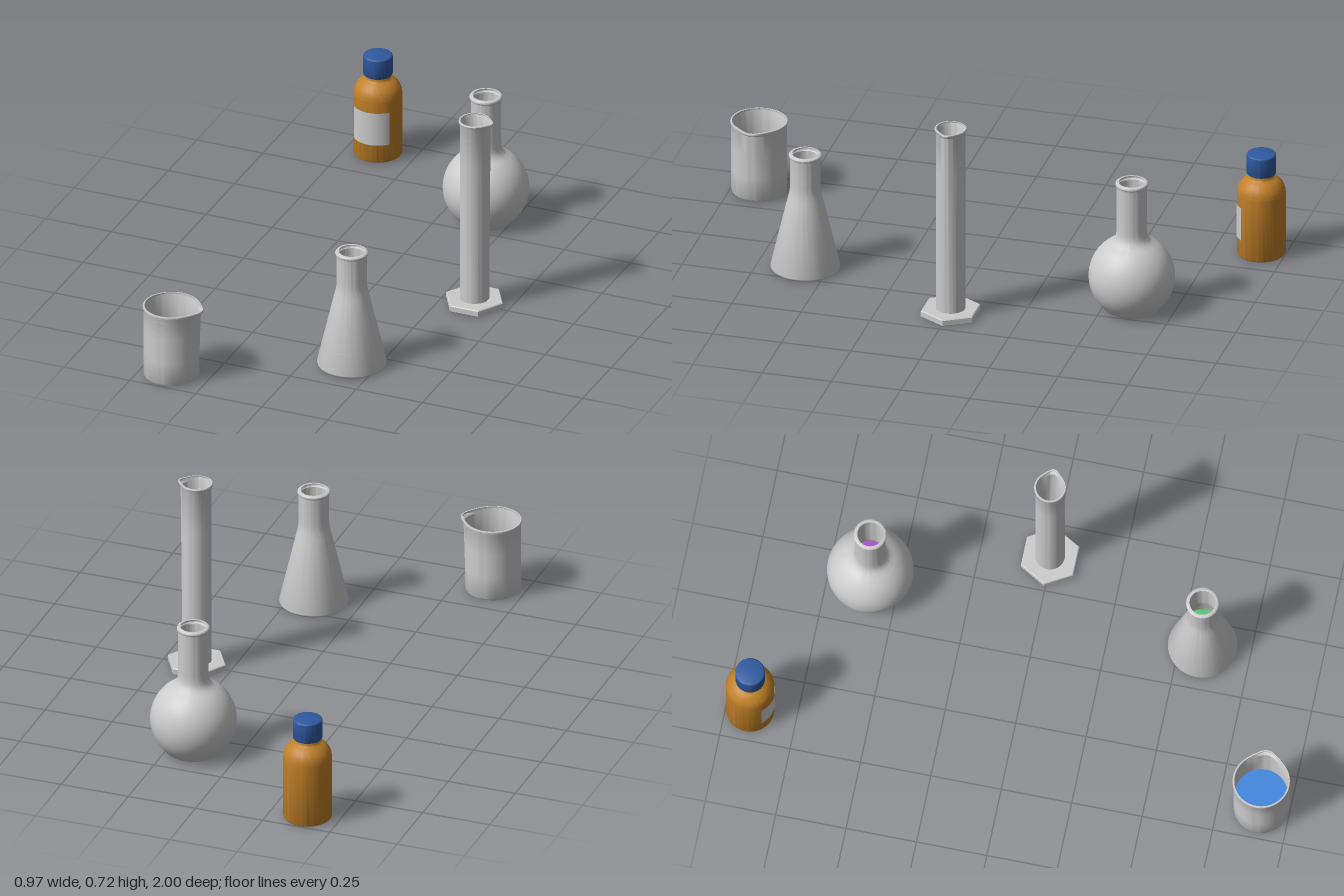
import * as THREE from 'three';
import { toCreasedNormals } from 'three/addons/utils/BufferGeometryUtils.js';

const material = (color, side = THREE.FrontSide) => new THREE.MeshStandardMaterial({ color, side });
const glass = material(0xcccccc);
const print = material(0xcccccc, THREE.DoubleSide);

function add(parent, name, geometry, mat) {
  const mesh = new THREE.Mesh(geometry, mat);
  mesh.name = name;
  parent.add(mesh);
  return mesh;
}

const lathe = (profile) => new THREE.LatheGeometry(profile.map(([r, y]) => new THREE.Vector2(Math.max(r, 0), y)), 64);

// Radius of a rising profile at height y
function radiusAt(profile, y) {
  for (let i = 1; i < profile.length; i++) {
    const [r0, y0] = profile[i - 1], [r1, y1] = profile[i];
    if (y1 > y0 && y >= y0 && y <= y1) return r0 + (r1 - r0) * (y - y0) / (y1 - y0);
  }
  return profile[profile.length - 1][0];
}

// Points along an arc, from angle a0 to a1 measured from the horizontal
function arc(cx, cy, r, a0, a1, n) {
  return Array.from({ length: n + 1 }, (_, i) => {
    const a = a0 + (a1 - a0) * i / n;
    return [cx + r * Math.cos(a), cy + r * Math.sin(a)];
  });
}

// Pull the +x side outwards into a pouring spout, most strongly at the lip
function pullSpout(geometry, { start, lip, body, extra }) {
  const p = geometry.attributes.position;
  for (let i = 0; i < p.count; i++) {
    const x = p.getX(i), y = p.getY(i), z = p.getZ(i);
    if (y <= start || Math.hypot(x, z) < 0.01) continue;
    const a = Math.atan2(z, x);
    const amount = body * Math.min(1, (y - start) / (lip - start)) + (y > lip + 0.001 ? extra : 0);
    p.setX(i, x + amount * Math.exp(-((a / 0.42) ** 2)));
  }
}

// Hollow vessel from its outer profile, partly filled with a coloured liquid
function vessel(name, x, z, outer, { wall, floor, level, color, spout }) {
  const group = new THREE.Group();
  group.name = name;
  group.position.set(x, 0, z);
  const bottom = outer[0][1] + floor;
  const upper = outer.filter(([, y]) => y > bottom + 0.002);
  const inner = [[radiusAt(outer, bottom) - wall, bottom], ...upper.map(([r, y]) => [r - wall, y])];
  const shell = lathe([[0, outer[0][1]], ...outer, ...[...inner].reverse(), [0, bottom]]);
  if (spout) pullSpout(shell, spout);
  add(group, name + 'Glass', toCreasedNormals(shell, 0.6), glass);

  const gap = 0.0005;
  const fill = inner.filter(([, y]) => y < level).map(([r, y]) => [r - gap, y + gap]);
  fill.push([radiusAt(inner, level) - gap, level], [0, level]);
  add(group, name + 'Liquid', toCreasedNormals(lathe([[0, bottom + gap], ...fill]), 0.6), material(color));
  return group;
}

// Row of thin curved graduation marks on the front of a vessel
function graduations(group, outer, { from, to, count, width }) {
  const marks = new THREE.Group();
  marks.name = 'graduations';
  const h = 0.0016;
  for (let i = 0; i < count; i++) {
    const y = from + (to - from) * i / (count - 1);
    const r0 = radiusAt(outer, y - h / 2) + 0.0008, r1 = radiusAt(outer, y + h / 2) + 0.0008;
    const angle = width(i) / r0;
    add(marks, 'mark', new THREE.CylinderGeometry(r1, r0, h, 8, 1, true, -angle / 2, angle), print).position.y = y;
  }
  group.add(marks);
}

function beaker() {
  const outer = [...arc(0.087, 0.01, 0.01, -Math.PI / 2, 0, 4), [0.097, 0.09], [0.097, 0.18],
    [0.097, 0.258], [0.1, 0.265], [0.1005, 0.269], [0.099, 0.272]];
  const group = vessel('beaker', -0.385, 0.9, outer, { wall: 0.005, floor: 0.006, level: 0.14, color: 0x3f87dd,
    spout: { start: 0.05, lip: 0.258, body: 0.01, extra: 0.007 } });
  graduations(group, outer, { from: 0.075, to: 0.247, count: 9, width: (i) => (i % 2 ? 0.032 : 0.066) });
  return group;
}

function conicalFlask() {
  const outer = [...arc(0.108, 0.013, 0.013, -Math.PI / 2, 0.25, 5), [0.0605, 0.275], [0.056, 0.293],
    [0.0535, 0.312], [0.053, 0.33], [0.053, 0.425], ...arc(0.0505, 0.436, 0.0075, -1.2, 1.6, 6)];
  const group = vessel('conicalFlask', 0.16, 0.58, outer, { wall: 0.005, floor: 0.006, level: 0.13, color: 0x55c474 });
  graduations(group, outer, { from: 0.087, to: 0.225, count: 5, width: (i) => (i % 2 ? 0.035 : 0.072 - i * 0.006) });
  return group;
}

function roundFlask() {
  const outer = [[0.085, 0], [0.098, 0.008], ...arc(0, 0.128, 0.151, -0.79, 1.08, 18),
    [0.0605, 0.272], [0.0555, 0.285], [0.0535, 0.3], [0.053, 0.32], [0.053, 0.47],
    ...arc(0.0505, 0.482, 0.0075, -1.2, 1.6, 6)];
  return vessel('roundFlask', 0.16, -0.6, outer, { wall: 0.005, floor: 0.006, level: 0.13, color: 0xa552c8 });
}

function measuringCylinder() {
  const outer = [[0.0515, 0.022], [0.0515, 0.3], [0.0515, 0.55], [0.0515, 0.705],
    [0.055, 0.712], [0.056, 0.717], [0.0545, 0.72]];
  const group = vessel('measuringCylinder', 0.373, -0.005, outer, { wall: 0.005, floor: 0.008, level: 0.42, color: 0xdd9a33,
    spout: { start: 0.1, lip: 0.705, body: 0.008, extra: 0.006 } });
  graduations(group, outer, { from: 0.09, to: 0.662, count: 21, width: (i) => (i % 5 ? 0.022 : 0.036) });

  // Hexagonal foot with corners along x and a slight bevel
  const hexagon = new THREE.Shape(Array.from({ length: 6 }, (_, i) =>
    new THREE.Vector2(0.104 * Math.cos(i * Math.PI / 3), 0.104 * Math.sin(i * Math.PI / 3))));
  const foot = new THREE.ExtrudeGeometry(hexagon, { depth: 0.019, bevelSize: 0.003, bevelThickness: 0.003, bevelSegments: 1 });
  foot.rotateX(-Math.PI / 2).translate(0, 0.003, 0);
  add(group, 'hexagonalFoot', foot, glass);
  return group;
}

function reagentBottle() {
  const group = new THREE.Group();
  group.name = 'reagentBottle';
  group.position.set(-0.385, 0, -0.915);
  const body = [[0, 0], ...arc(0.077, 0.008, 0.008, -Math.PI / 2, 0, 4), [0.085, 0.232],
    ...arc(0.02, 0.235, 0.065, 0, 1.15, 10), [0.043, 0.3], [0.043, 0.318], [0, 0.318]];
  add(group, 'bottleBody', toCreasedNormals(lathe(body), 0.6), material(0xc08028));
  const cap = [[0, 0.31], [0.05, 0.31], [0.0515, 0.313], [0.0515, 0.378], ...arc(0.0455, 0.379, 0.006, 0, Math.PI / 2, 3), [0, 0.385]];
  add(group, 'screwCap', toCreasedNormals(lathe(cap), 0.6), material(0x2f5aa0));
  const label = new THREE.CylinderGeometry(0.0865, 0.0865, 0.125, 24, 1, true, -0.9, 1.8);
  add(group, 'blankLabel', label, print).position.y = 0.133;
  return group;
}

export function createModel() {
  const model = new THREE.Group();
  model.name = 'laboratoryGlassware';
  model.add(beaker(), conicalFlask(), measuringCylinder(), roundFlask(), reagentBottle());
  return model;
}
